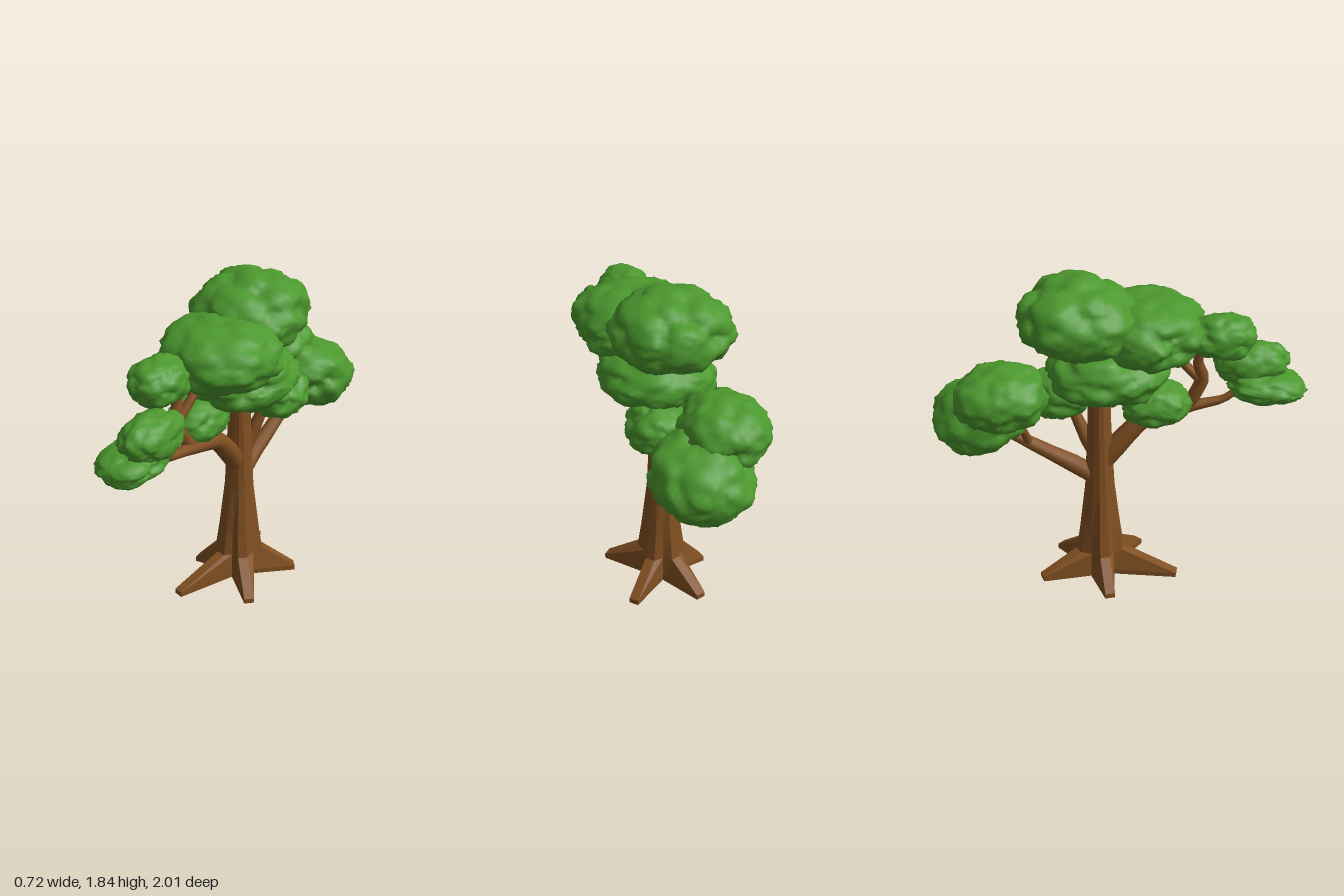
import * as THREE from 'three';
import { mergeVertices } from 'three/addons/utils/BufferGeometryUtils.js';

const V = (x, y, z) => new THREE.Vector3(x, y, z);

function seeded(seed) {
  let s = seed * 7919 + 17;
  return () => (s = (s * 16807) % 2147483647) / 2147483647;
}

// lumpy ellipsoid: rounded bumps around random directions plus ragged ripples
function foliageGeometry(rx, ry, rz, seed) {
  const rnd = seeded(seed);
  for (let i = 0; i < 5; i++) rnd();
  const bumps = [];
  for (let i = 0; i < 70; i++) {
    const h = rnd() * 2 - 1, a = rnd() * Math.PI * 2, r = Math.sqrt(1 - h * h);
    bumps.push({ dir: V(r * Math.cos(a), h, r * Math.sin(a)), size: 0.55 + 0.45 * rnd() });
  }
  const wave = (v, f, k) => Math.sin(v.x * f + seed * k) * Math.sin(v.y * f + seed * 2 * k) * Math.sin(v.z * f + seed * 3 * k);
  let geo = new THREE.IcosahedronGeometry(1, 10);
  geo.deleteAttribute('uv');
  geo.deleteAttribute('normal');
  geo = mergeVertices(geo, 1e-4);
  const p = geo.attributes.position, v = V(0, 0, 0);
  for (let i = 0; i < p.count; i++) {
    v.fromBufferAttribute(p, i).normalize();
    let lump = 0;
    for (const b of bumps) {
      const d = v.distanceTo(b.dir) / 0.42;
      if (d < 1) lump = Math.max(lump, b.size * Math.sqrt(1 - d * d));
    }
    // slightly squarer than an ellipsoid
    const boxy = Math.pow(v.x ** 4 + v.y ** 4 + v.z ** 4, -0.045);
    const r = (0.82 + 0.2 * lump + 0.04 * wave(v, 9, 1) + 0.04 * wave(v, 21, 1.7)) * boxy;
    p.setXYZ(i, v.x * r * rx, v.y * r * ry, v.z * r * rz);
  }
  geo.computeVertexNormals();
  return geo;
}

// tapered tube along a path of [x, y, z, radius]
function branchGeometry(path) {
  const curve = new THREE.CatmullRomCurve3(path.map(q => V(q[0], q[1], q[2])), false, 'catmullrom', 0.25);
  const rings = (path.length - 1) * 4, sides = 10;
  const geo = new THREE.TubeGeometry(curve, rings, 1, sides);
  const p = geo.attributes.position, n = geo.attributes.normal;
  for (let i = 0; i < p.count; i++) {
    const u = Math.floor(i / (sides + 1)) / rings;
    const t = curve.getUtoTmapping(u) * (path.length - 1);
    const k = Math.min(Math.floor(t), path.length - 2);
    const r = THREE.MathUtils.lerp(path[k][3], path[k + 1][3], t - k) - 1;
    p.setXYZ(i, p.getX(i) + n.getX(i) * r, p.getY(i) + n.getY(i) * r, p.getZ(i) + n.getZ(i) * r);
  }
  return geo;
}

// trunk and roots in one skin, open below: each level is a loop with two
// ridge corners per root and a valley between neighbouring roots
function trunkGeometry(cx, cz, tips) {
  const roots = tips.map(([x, z, lift]) => ({
    angle: Math.atan2(z - cz, x - cx), reach: Math.hypot(x - cx, z - cz), lift,
  })).sort((a, b) => a.angle - b.angle);
  // height, ridge radius (0 = root tip), valley radius
  const levels = [[0, 0, 0.11], [0.028, 0, 0.11], [0.18, 0.132, 0.105], [0.32, 0.112, 0.1],
    [0.6, 0.08, 0.078], [0.8, 0.071, 0.07], [1.0, 0.063, 0.062], [1.3, 0.056, 0.055]];
  const points = [], index = [];
  for (const [y, ridge, valley] of levels) {
    roots.forEach((root, i) => {
      const r = ridge || root.reach, h = ridge ? y : y + root.lift;
      const w = Math.min(r * 0.21, 0.027);
      const c = Math.cos(root.angle), s = Math.sin(root.angle);
      for (const side of [-w, w]) points.push(cx + c * r - s * side, h, cz + s * r + c * side);
      const next = roots[(i + 1) % roots.length].angle + (i + 1 === roots.length ? Math.PI * 2 : 0);
      const mid = (root.angle + next) / 2;
      points.push(cx + Math.cos(mid) * valley, ridge ? y : y + 0.03, cz + Math.sin(mid) * valley);
    });
  }
  const n = roots.length * 3;
  for (let l = 0; l < levels.length - 1; l++) {
    for (let i = 0; i < n; i++) {
      const a = l * n + i, b = l * n + (i + 1) % n;
      index.push(a, a + n, b, b, a + n, b + n);
    }
  }
  const skin = new THREE.BufferGeometry();
  skin.setAttribute('position', new THREE.Float32BufferAttribute(points, 3));
  skin.setIndex(index);
  const geo = skin.toNonIndexed();
  geo.computeVertexNormals();
  return geo;
}

export function createModel() {
  const tree = new THREE.Group();
  tree.name = 'tree';
  const bark = new THREE.MeshStandardMaterial({ color: 0x815022, side: THREE.DoubleSide });
  bark.name = 'bark brown';
  const leaf = new THREE.MeshStandardMaterial({ color: 0x4c982e });
  leaf.name = 'leaf green';
  const add = (name, geo, mat) => {
    const mesh = new THREE.Mesh(geo, mat);
    mesh.name = name;
    tree.add(mesh);
    return mesh;
  };

  // root tips: x, z, height of the underside
  add('trunkAndRoots', trunkGeometry(-0.018, -0.113, [[-0.14, 0.31, 0.03], [0.22, 0.13, 0.015],
    [0.23, -0.325, 0.005], [-0.12, -0.45, 0.035], [-0.285, -0.08, 0]]), bark);

  // branches
  const branches = {
    frontBranch: [[-0.02, 0.7, -0.13, 0.055], [-0.02, 0.83, -0.03, 0.06], [-0.01, 0.985, 0.12, 0.05],
      [0, 1.055, 0.38, 0.034], [0, 1.09, 0.56, 0.022], [0, 1.17, 0.67, 0.018], [0, 1.22, 0.76, 0.014]],
    frontUpperBranch: [[0, 1.04, 0.32, 0.03], [-0.02, 1.11, 0.385, 0.036], [-0.03, 1.24, 0.44, 0.036],
      [-0.04, 1.34, 0.41, 0.028], [-0.05, 1.45, 0.43, 0.02]],
    frontFork: [[-0.03, 1.23, 0.43, 0.028], [-0.01, 1.32, 0.34, 0.024], [0, 1.42, 0.24, 0.018]],
    sideTwig: [[-0.01, 0.98, 0.12, 0.025], [-0.04, 1.03, 0.17, 0.02], [-0.08, 1.12, 0.19, 0.015]],
    backBranch: [[-0.02, 0.64, -0.12, 0.05], [-0.02, 0.74, -0.26, 0.05], [-0.01, 0.79, -0.35, 0.043],
      [0, 0.88, -0.5, 0.035], [0.02, 1.0, -0.7, 0.026]],
    backTwig: [[0, 0.86, -0.49, 0.025], [-0.05, 0.97, -0.52, 0.022], [-0.13, 1.15, -0.6, 0.018]],
    backUpperBranch: [[-0.01, 0.76, -0.12, 0.04], [0.01, 0.88, -0.18, 0.04], [0.05, 1.04, -0.25, 0.028],
      [0.09, 1.15, -0.31, 0.02]],
  };
  for (const [name, path] of Object.entries(branches)) add(name, branchGeometry(path), bark);

  // leaf clumps: centre, half sizes, lean front to back
  const clumps = {
    crown: [-0.02, 1.625, -0.22, 0.315, 0.213, 0.315, 0.06],
    upperFront: [0.03, 1.52, 0.15, 0.335, 0.188, 0.305, 0],
    middle: [0, 1.315, -0.075, 0.32, 0.168, 0.335, 0],
    frontHigh: [-0.06, 1.495, 0.53, 0.145, 0.125, 0.19, 0],
    frontMiddle: [0.025, 1.29, 0.71, 0.13, 0.13, 0.21, 0],
    frontLow: [-0.03, 1.178, 0.79, 0.165, 0.092, 0.217, 0.1],
    sideLow: [-0.08, 1.13, 0.18, 0.155, 0.122, 0.195, 0],
    backLow: [0.02, 1.07, -0.74, 0.27, 0.198, 0.278, -0.35],
    backHigh: [-0.14, 1.235, -0.63, 0.23, 0.173, 0.25, -0.1],
    backInner: [0.09, 1.128, -0.315, 0.175, 0.137, 0.183, 0],
  };
  Object.entries(clumps).forEach(([name, [x, y, z, rx, ry, rz, lean]], i) => {
    const clump = add(name + 'Leaves', foliageGeometry(rx, ry, rz, i + 3), leaf);
    clump.position.set(x, y, z);
    clump.rotation.x = lean;
  });
  return tree;
}
